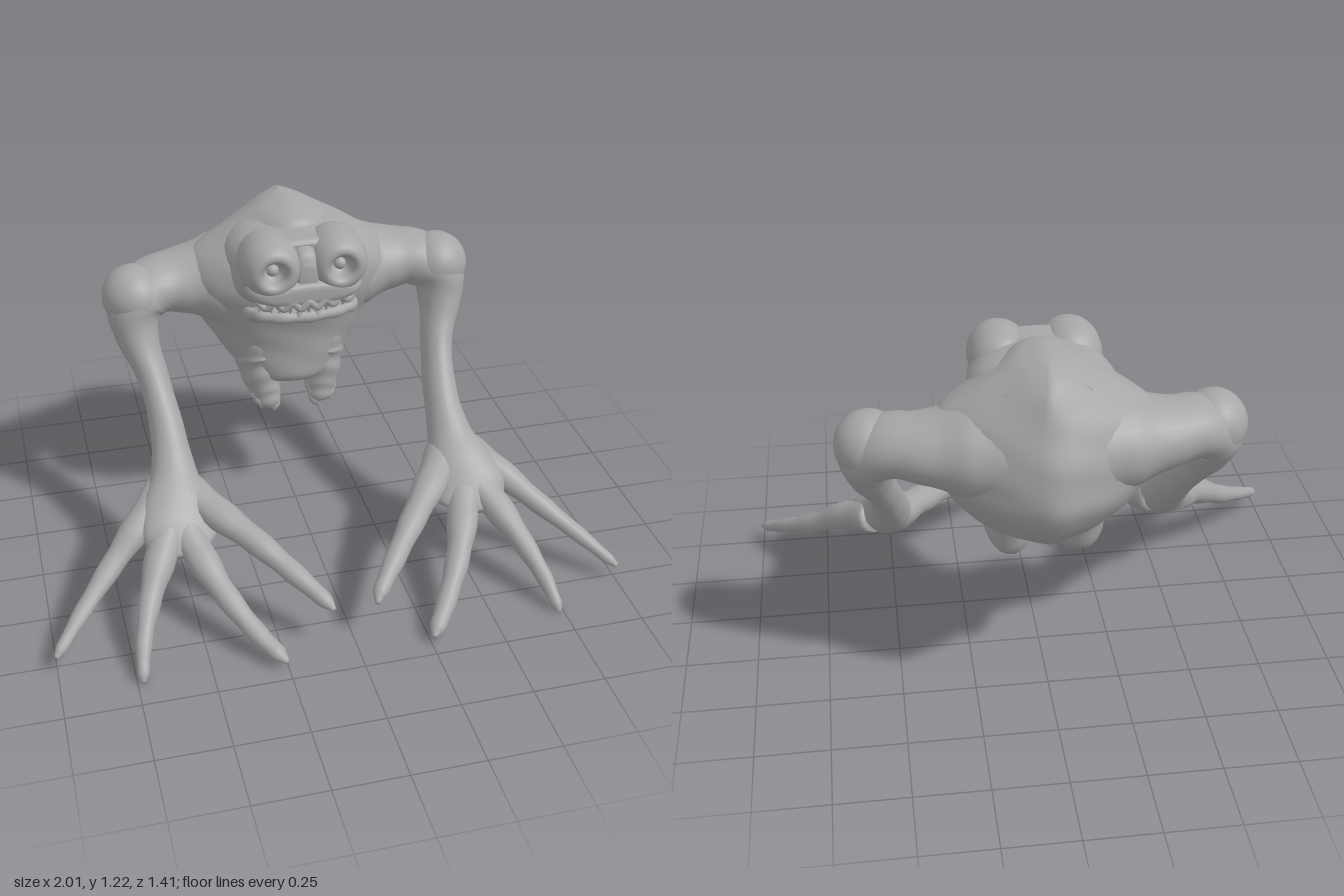
import * as THREE from 'three';

const skin = new THREE.MeshStandardMaterial({ color: 0xa6a6a6 });
skin.name = 'grey skin';

// Closed smooth skin over a list of rings, counter-clockwise about the direction of travel
function loft(rings) {
  const n = rings[0].length, pos = [], idx = [];
  rings.forEach(r => r.forEach(p => pos.push(p.x, p.y, p.z)));
  for (let i = 0; i < rings.length - 1; i++) {
    for (let j = 0; j < n; j++) {
      const k = (j + 1) % n, a = i * n + j, b = i * n + k;
      idx.push(a, b, b + n, a, b + n, a + n);
    }
  }
  for (const end of [0, rings.length - 1]) {
    const c = new THREE.Vector3();
    rings[end].forEach(p => c.addScaledVector(p, 1 / n));
    const ci = pos.length / 3;
    pos.push(c.x, c.y, c.z);
    for (let j = 0; j < n; j++) {
      const a = end * n + j, b = end * n + (j + 1) % n;
      if (end) idx.push(ci, a, b); else idx.push(ci, b, a);
    }
  }
  const g = new THREE.BufferGeometry();
  g.setAttribute('position', new THREE.Float32BufferAttribute(pos, 3));
  g.setIndex(idx);
  g.computeVertexNormals();
  return g;
}

// Smoothly interpolate rows of numbers; columns are taken three at a time
function smoothRows(rows, steps) {
  const curve = o => new THREE.CatmullRomCurve3(
    rows.map(r => new THREE.Vector3(r[o], r[o + 1] ?? 0, r[o + 2] ?? 0)), false, 'catmullrom', 0.5);
  const a = curve(0), b = curve(3), out = [], n = (rows.length - 1) * steps;
  for (let i = 0; i <= n; i++) {
    out.push({ p: a.getPoint(i / n), q: b.getPoint(i / n), t: a.getTangent(i / n) });
  }
  return out;
}

// Limb from rows [x, y, z, radius along ref, radius across]
function limb(rows, ref, { side = 1, sides = 20, steps = 6, wobble = 0.03 } = {}) {
  const path = smoothRows(rows.map(r => [r[0] * side, ...r.slice(1)]), steps);
  return loft(path.map(({ p, q, t }, i) => {
    const u = ref.clone().addScaledVector(t, -t.dot(ref)).normalize();
    const v = t.clone().cross(u);
    const k = 1 + wobble * Math.sin(i * 1.1);
    return Array.from({ length: sides }, (_, j) => {
      const a = j / sides * Math.PI * 2;
      return p.clone().addScaledVector(u, Math.cos(a) * Math.max(q.x, 0.003) * k)
        .addScaledVector(v, Math.sin(a) * Math.max(q.y, 0.003) * k);
    });
  }));
}

const soft = (v, e) => Math.sign(v) * Math.abs(v) ** e;

// Torso rows: [y, half width, front z, back z]; the back comes to a ridge
function torsoGeometry() {
  const rows = [
    [0.55, 0.13, -0.23, -0.42], [0.58, 0.18, -0.2, -0.49], [0.64, 0.23, -0.195, -0.58],
    [0.72, 0.285, -0.19, -0.66], [0.8, 0.33, -0.175, -0.705], [0.88, 0.37, -0.15, -0.7],
    [0.96, 0.38, -0.13, -0.685], [1.04, 0.345, -0.14, -0.65], [1.11, 0.25, -0.17, -0.615],
    [1.17, 0.15, -0.19, -0.58], [1.205, 0.09, -0.22, -0.53], [1.225, 0.025, -0.3, -0.47]];
  const n = 48;
  return loft(smoothRows(rows.map(r => [0, r[0], 0, r[1], r[2], r[3]]), 4).map(({ p, q }) => {
    const mid = q.y + (q.z - q.y) * 0.5;
    return Array.from({ length: n }, (_, j) => {
      const a = j / n * Math.PI * 2, s = Math.sin(a), c = Math.cos(a);
      const lump = 1 + 0.015 * Math.sin(a * 6 + p.y * 17) * Math.sin(p.y * 31);
      const z = c > 0 ? (q.y - mid) * c : (q.z - mid) * (0.5 * -c + 0.5 * (1 - Math.abs(s)));
      return new THREE.Vector3(q.x * soft(s, 0.95) * lump, p.y, mid + z * lump);
    });
  }));
}

// Head sections run forward: [z, centre y, half width, half height]
function sectionsAlongZ(rows, sides = 32, e = 0.8) {
  return loft(smoothRows(rows.map(r => [0, r[1], r[0], r[2], r[3]]), 5).map(({ p, q }) =>
    Array.from({ length: sides }, (_, j) => {
      const a = j / sides * Math.PI * 2;
      return new THREE.Vector3(q.x * soft(Math.cos(a), e), p.y + q.y * soft(Math.sin(a), e), p.z);
    })));
}

const ARM = [
  [0.1, 0.92, -0.41, 0.22, 0.19], [0.25, 0.925, -0.41, 0.195, 0.16],
  [0.38, 0.93, -0.405, 0.148, 0.115], [0.49, 0.93, -0.38, 0.125, 0.1],
  [0.565, 0.88, -0.335, 0.12, 0.1], [0.565, 0.78, -0.285, 0.09, 0.075],
  [0.53, 0.66, -0.2, 0.072, 0.056], [0.51, 0.53, -0.08, 0.074, 0.06],
  [0.51, 0.42, 0.04, 0.08, 0.078], [0.52, 0.335, 0.16, 0.08, 0.125],
  [0.53, 0.28, 0.26, 0.05, 0.125], [0.53, 0.245, 0.32, 0.015, 0.07]];

const FINGERS = {
  outerFinger: [[0.55, 0.37, 0.08, 0.06, 0.07], [0.66, 0.31, 0.19, 0.05, 0.055], [0.78, 0.22, 0.29, 0.037, 0.04],
    [0.89, 0.145, 0.4, 0.027, 0.03], [0.975, 0.085, 0.495, 0.02, 0.02], [1.0, 0.068, 0.525, 0.008, 0.008]],
  secondFinger: [[0.54, 0.33, 0.18, 0.055, 0.07], [0.61, 0.25, 0.32, 0.05, 0.055], [0.67, 0.165, 0.44, 0.038, 0.038],
    [0.71, 0.09, 0.55, 0.03, 0.028], [0.727, 0.035, 0.63, 0.022, 0.02], [0.73, 0.016, 0.655, 0.008, 0.008]],
  thirdFinger: [[0.52, 0.32, 0.18, 0.055, 0.07], [0.47, 0.24, 0.34, 0.05, 0.055], [0.41, 0.165, 0.47, 0.04, 0.042],
    [0.34, 0.095, 0.58, 0.032, 0.035], [0.28, 0.055, 0.665, 0.026, 0.028], [0.255, 0.04, 0.7, 0.008, 0.008]],
  innerFinger: [[0.49, 0.37, 0.08, 0.06, 0.07], [0.39, 0.335, 0.22, 0.05, 0.06], [0.28, 0.29, 0.36, 0.042, 0.046],
    [0.18, 0.23, 0.48, 0.035, 0.037], [0.1, 0.18, 0.58, 0.026, 0.027], [0.075, 0.16, 0.62, 0.008, 0.008]],
};

const LEG = [
  [0.12, 0.72, -0.37, 0.15, 0.1], [0.12, 0.62, -0.35, 0.145, 0.085], [0.115, 0.55, -0.315, 0.11, 0.072],
  [0.105, 0.49, -0.28, 0.07, 0.055], [0.1, 0.455, -0.255, 0.04, 0.042], [0.1, 0.44, -0.25, 0.012, 0.02]];

export function createModel() {
  const model = new THREE.Group();
  model.name = 'longArmedCreature';
  const X = new THREE.Vector3(1, 0, 0), Y = new THREE.Vector3(0, 1, 0), Z = new THREE.Vector3(0, 0, 1);
  const add = (name, geometry, parent = model) => {
    const m = new THREE.Mesh(geometry, skin);
    m.name = name;
    parent.add(m);
    return m;
  };

  add('torso', torsoGeometry());

  // Head: skull, muzzle and lower jaw
  const head = new THREE.Group();
  head.name = 'head';
  model.add(head);
  add('skull', sectionsAlongZ([[-0.5, 1.08, 0.16, 0.1], [-0.32, 1.03, 0.25, 0.16], [-0.2, 1.03, 0.235, 0.155],
    [-0.14, 1.055, 0.222, 0.13], [-0.1, 1.085, 0.215, 0.1], [-0.085, 1.09, 0.18, 0.08]]), head);
  add('muzzle', sectionsAlongZ([[-0.2, 1.0, 0.22, 0.06], [-0.1, 1.01, 0.205, 0.05], [-0.05, 1.012, 0.19, 0.045],
    [-0.022, 1.012, 0.155, 0.036], [-0.014, 1.012, 0.1, 0.02]]), head);
  add('noseBridge', sectionsAlongZ([[-0.15, 1.09, 0.05, 0.09], [-0.06, 1.08, 0.045, 0.08],
    [-0.03, 1.06, 0.03, 0.05]], 20), head);
  add('chin', sectionsAlongZ([[-0.24, 0.85, 0.2, 0.09], [-0.16, 0.89, 0.18, 0.04], [-0.09, 0.915, 0.165, 0.014],
    [-0.045, 0.925, 0.12, 0.01]]), head);
  const lip = [[0.18, 0.88, -0.21], [0.185, 0.905, -0.14], [0.165, 0.925, -0.075], [0.1, 0.925, -0.042]];
  add('lowerLip', limb([...lip.map(p => [-p[0], p[1], p[2], 0.02, 0.018]), [0, 0.922, -0.034, 0.02, 0.018],
    ...lip.slice().reverse().map(p => [...p, 0.02, 0.018])], Y, { sides: 12, wobble: 0.1 }), head);
  // Jagged upper lip
  const zigzag = [];
  for (let i = -6; i <= 6; i++) {
    const x = i * 0.029;
    zigzag.push([x, 0.975 + (i % 2 ? -0.012 : 0.012), -0.022 - 1.5 * x * x, 0.014, 0.013]);
  }
  add('upperLip', limb(zigzag, Y, { sides: 10, wobble: 0 }), head);
  // Teeth, alternating up and down
  for (let i = -5; i <= 5; i++) {
    const x = i * 0.032, down = i % 2 === 0;
    const tooth = add(down ? 'upperTooth' : 'lowerTooth', new THREE.ConeGeometry(0.015, 0.045, 10), head);
    tooth.position.set(x, down ? 0.956 : 0.952, -0.03 - 1.6 * x * x);
    if (down) tooth.rotation.x = Math.PI;
  }

  // Bulging eye with a sunken socket
  const socket = new THREE.SplineCurve([[0.05, -0.22], [0.095, -0.17], [0.106, -0.09], [0.1, -0.035], [0.082, 0.004],
    [0.06, 0.016], [0.043, 0.006], [0.034, -0.02], [0.02, -0.036], [0, -0.04]]
    .map(p => new THREE.Vector2(...p))).getPoints(36);
  socket.forEach(p => { p.x = Math.max(p.x, 0); });
  const bulge = new THREE.LatheGeometry(socket, 36).rotateX(Math.PI / 2);

  for (const side of [1, -1]) {
    const word = side > 0 ? 'left' : 'right';
    add(word + 'EyeSocket', bulge, head).position.set(side * 0.118, 1.1, -0.03);
    add(word + 'Eye', new THREE.SphereGeometry(0.022, 16, 12), head).position.set(side * 0.118, 1.1, -0.066);

    // Arm with shoulder and four long fingers
    const arm = new THREE.Group();
    arm.name = word + 'Arm';
    model.add(arm);
    add('armAndPalm', limb(ARM, Z, { side, sides: 28, wobble: 0.012 }), arm);
    const shoulder = add('shoulder', new THREE.SphereGeometry(0.113, 28, 20), arm);
    shoulder.position.set(side * 0.563, 0.918, -0.345);
    shoulder.scale.z = 1.08;
    for (const [name, rows] of Object.entries(FINGERS)) {
      add(name, limb(rows, Y, { side, sides: 14, wobble: 0.05 }), arm);
    }

    // Stubby leg ending in two nubs
    const leg = new THREE.Group();
    leg.name = word + 'Leg';
    model.add(leg);
    add('stump', limb(LEG, Z, { side }), leg);
    for (const [x, y] of [[0.08, 0.425], [0.128, 0.445]]) {
      add('toe', limb([[x + 0.005, 0.5, -0.27, 0.035, 0.025], [x, y + 0.025, -0.248, 0.024, 0.017],
        [x, y, -0.242, 0.006, 0.006]], X, { side, sides: 10 }), leg);
    }
  }
  return model;
}
